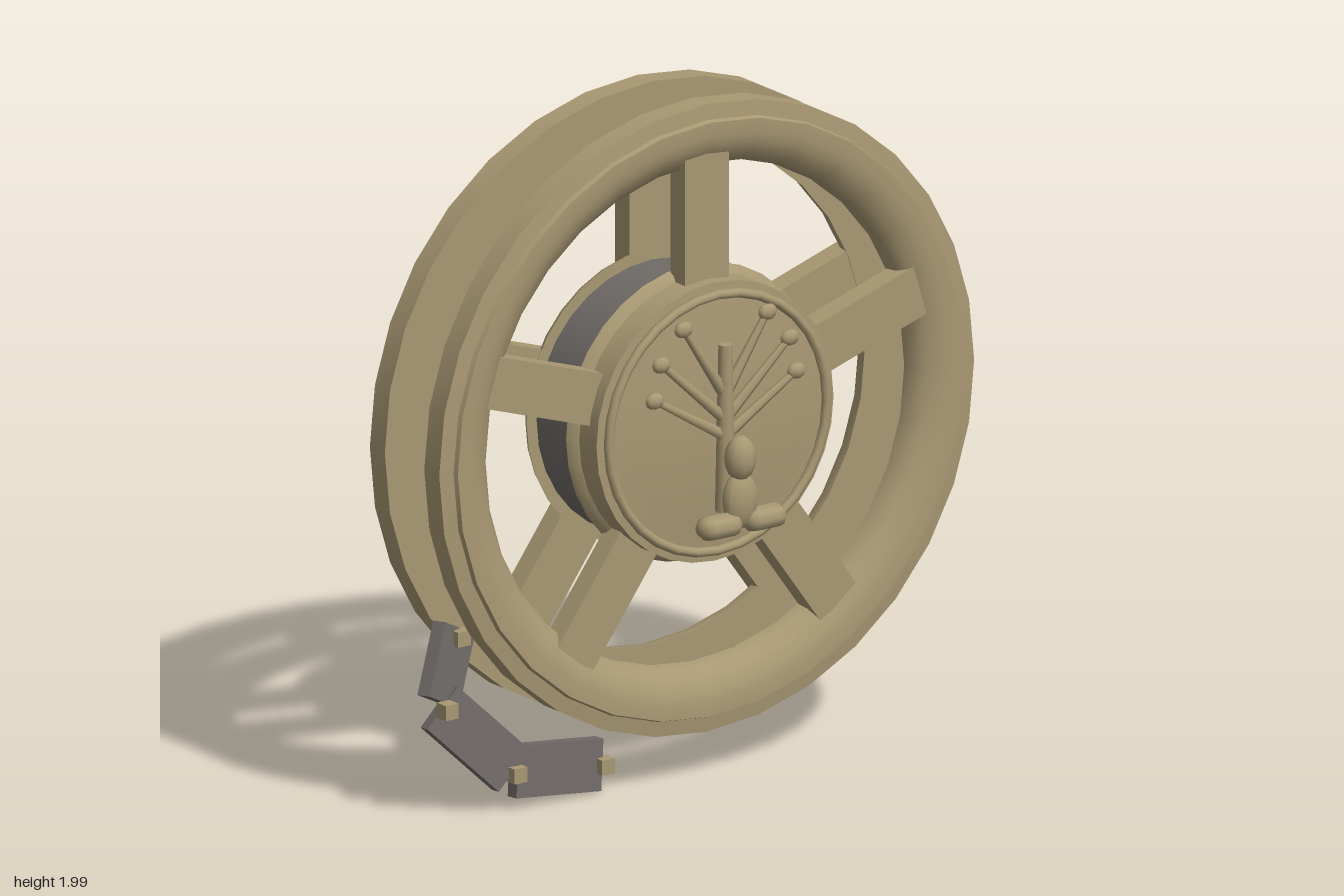
import * as THREE from 'three';
import { toCreasedNormals } from 'three/addons/utils/BufferGeometryUtils.js';

const tan = new THREE.MeshStandardMaterial({ color: 0xa89873 });
tan.name = 'tan';
const grey = new THREE.MeshStandardMaterial({ color: 0x706b67 });
grey.name = 'warm grey';

const V = (x, y, z) => new THREE.Vector3(x, y, z);

function add(parent, name, geometry, material, x = 0, y = 0, z = 0) {
  const mesh = new THREE.Mesh(geometry, material);
  mesh.name = name;
  mesh.position.set(x, y, z);
  parent.add(mesh);
  return mesh;
}

// Turned profile of [radius, z] points, spun around the z axis
function turned(points, segments, crease = 0.6) {
  const g = new THREE.LatheGeometry(points.map(([r, z]) => new THREE.Vector2(r, z)), segments);
  return toCreasedNormals(g.rotateX(Math.PI / 2), crease);
}

// Tapered round rod between two points
function rod(parent, name, a, b, ra, rb, sides = 8) {
  const dir = b.clone().sub(a);
  const mesh = add(parent, name, new THREE.CylinderGeometry(rb, ra, dir.length(), sides), tan);
  mesh.position.copy(a).add(b).multiplyScalar(0.5);
  mesh.quaternion.setFromUnitVectors(V(0, 1, 0), dir.normalize());
}

function ellipsoid(parent, name, x, y, z, rx, ry, rz, w = 10, h = 8) {
  const mesh = add(parent, name, new THREE.SphereGeometry(1, w, h), tan, x, y, z);
  mesh.scale.set(rx, ry, rz);
  return mesh;
}

// One wheel: moulded rim, five spokes and a domed hub, back face at z = 0
function makeWheel(name) {
  const wheel = new THREE.Group();
  wheel.name = name;
  add(wheel, 'rim', turned([
    [0.735, 0], [0.925, 0], [0.925, 0.072], [0.88, 0.078], [0.875, 0.092],
    [0.835, 0.092], [0.805, 0.086], [0.765, 0.066], [0.742, 0.04], [0.735, 0],
  ], 32), tan);
  for (let i = 0; i < 5; i++) {
    const pivot = new THREE.Group();
    pivot.name = 'spoke';
    pivot.rotation.z = (i * Math.PI * 2) / 5;
    add(pivot, 'spokeBar', new THREE.BoxGeometry(0.152, 0.46, 0.07), tan, 0, 0.57, 0.038);
    wheel.add(pivot);
  }
  const dome = [[0, 0]];
  for (let i = 0; i <= 8; i++) {
    const a = (i / 8) * Math.PI / 2;
    dome.push([0.435 * Math.cos(a), 0.09 * Math.sin(a)]);
  }
  add(wheel, 'hubDome', turned(dome, 32, 1), tan);
  return wheel;
}

// Flat link aligned to a length direction and an approximate width direction
function link(parent, centre, along, across, length, width) {
  const u = along.clone().normalize();
  const n = u.clone().cross(across).normalize();
  const v = n.clone().cross(u);
  const mesh = add(parent, 'strapLink', new THREE.BoxGeometry(length, width, 0.042), grey);
  mesh.quaternion.setFromRotationMatrix(new THREE.Matrix4().makeBasis(u, v, n));
  mesh.position.copy(centre);
}

export function createModel() {
  const root = new THREE.Group();
  root.name = 'twinWheel';
  const axle = new THREE.Group();
  axle.name = 'wheelAssembly';
  axle.position.y = 1.07;
  root.add(axle);

  // Pair of wheels, the rear one turned to face backwards
  axle.add(makeWheel('frontWheel'));
  const rear = makeWheel('rearWheel');
  rear.rotation.y = Math.PI;
  rear.position.z = -0.19;
  axle.add(rear);

  // Drum between the wheels
  add(axle, 'drum', new THREE.CylinderGeometry(0.4, 0.4, 0.192, 32).rotateX(Math.PI / 2), grey, 0, 0, -0.095);

  // Front medallion: stepped plate, rolled border and shallow dome
  add(axle, 'medallionPlate', turned([
    [0, 0.02], [0.41, 0.02], [0.41, 0.112], [0.37, 0.114], [0.3, 0.122], [0.18, 0.132], [0, 0.137],
  ], 32), tan);
  add(axle, 'medallionBorder', new THREE.TorusGeometry(0.377, 0.014, 8, 32), tan, 0, 0, 0.125);

  // Tree emblem
  const tree = new THREE.Group();
  tree.name = 'tree';
  root.add(tree);
  rod(tree, 'trunk', V(0, 0.82, 0.162), V(0, 1.31, 0.162), 0.03, 0.02);
  for (const s of [-1, 1]) {
    for (const [x, y, base] of [[0.145, 1.38, 1.16], [0.222, 1.29, 1.09], [0.245, 1.188, 1.04]]) {
      rod(tree, 'branch', V(0, base, 0.16), V(s * x, y, 0.162), 0.018, 0.01, 6);
      ellipsoid(tree, 'leaf', s * x, y, 0.163, 0.032, 0.024, 0.018, 8, 6);
    }
  }

  // Seated figure in front of the trunk
  const figure = new THREE.Group();
  figure.name = 'figure';
  root.add(figure);
  ellipsoid(figure, 'head', 0, 0.993, 0.233, 0.047, 0.067, 0.042);
  ellipsoid(figure, 'body', 0, 0.87, 0.232, 0.057, 0.085, 0.036);
  for (const s of [-1, 1]) {
    const leg = add(figure, 'leg', new THREE.CapsuleGeometry(0.036, 0.07, 3, 8), tan, s * 0.077, 0.807, 0.238);
    leg.rotation.z = Math.PI / 2;
    leg.scale.z = 1.2;
  }

  // Strap of flat links trailing beside the wheels
  const strap = new THREE.Group();
  strap.name = 'strap';
  root.add(strap);
  link(strap, V(-0.445, 0.095, -0.036), V(-1, 0.11, 0), V(0, -1, 0.08), 0.295, 0.15);
  link(strap, V(-0.705, 0.222, -0.062), V(-0.2, 0.2, -0.05), V(-1, -1, 0), 0.3, 0.15);
  link(strap, V(-0.77, 0.44, -0.11), V(0.4, 0.9, -0.2), V(0.93, -0.38, -0.3), 0.215, 0.155);
  for (const [x, y, z] of [[-0.295, 0.08, -0.012], [-0.598, 0.11, -0.012], [-0.81, 0.327, -0.048], [-0.73, 0.515, -0.1]]) {
    add(strap, 'strapPin', new THREE.BoxGeometry(0.044, 0.044, 0.044), tan, x, y, z);
  }
  return root;
}
